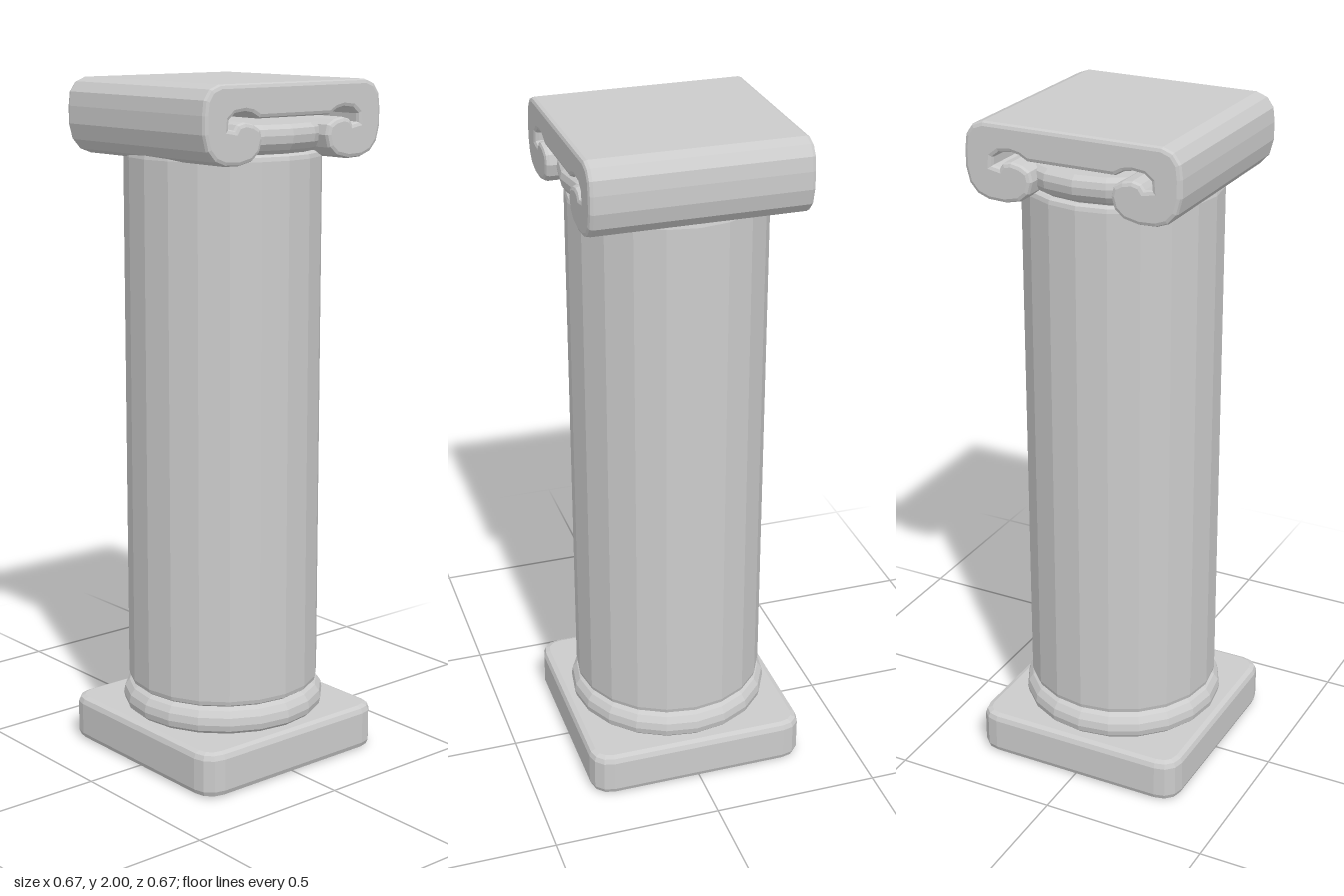
import * as THREE from 'three';

const material = new THREE.MeshStandardMaterial({ color: 0xcccccc, flatShading: true });

function addMesh(group, name, geometry) {
  const mesh = new THREE.Mesh(geometry, material);
  mesh.name = name;
  group.add(mesh);
  return mesh;
}

// Extrude an outline along z, centred, with rounded edges kept inside the outline
function slab(points, depth, bevel) {
  const shape = new THREE.Shape(points.map(([x, y]) => new THREE.Vector2(x, y)));
  const geometry = new THREE.ExtrudeGeometry(shape, {
    depth: depth - 2 * bevel, bevelEnabled: true, bevelThickness: bevel,
    bevelSize: bevel, bevelOffset: -bevel, bevelSegments: 2,
  });
  return geometry.translate(0, 0, -depth / 2 + bevel);
}

// Twenty-sided turned part from [radius, height] pairs, bottom to top
const turned = (profile) =>
  new THREE.LatheGeometry(profile.map(([r, y]) => new THREE.Vector2(r, y)), 20);

export function createModel() {
  const group = new THREE.Group();
  group.name = 'column';

  // Square plinth with rounded corners
  const corner = [[0.333, 0.27], [0.325, 0.302], [0.302, 0.325], [0.27, 0.333]];
  const square = [];
  for (let i = 0; i < 4; i++) {
    const c = Math.round(Math.cos(i * Math.PI / 2)), s = Math.round(Math.sin(i * Math.PI / 2));
    for (const [x, y] of corner) square.push([x * c - y * s, x * s + y * c]);
  }
  const plinth = slab(square, 0.134, 0.02);
  plinth.rotateX(-Math.PI / 2).translate(0, 0.067, 0);
  addMesh(group, 'plinth', plinth);

  // Moulded ring, used at the foot and again, flipped, under the capital
  const ring = [[0, 0], [0.285, 0], [0.298, 0.012], [0.302, 0.03], [0.298, 0.052], [0.285, 0.07], [0.265, 0.082], [0, 0.082]];
  addMesh(group, 'baseRing', turned(ring)).position.y = 0.132;
  const neck = addMesh(group, 'neckRing', turned(ring));
  neck.rotation.x = Math.PI;
  neck.position.y = 1.885;

  // Shaft with softened ends
  addMesh(group, 'shaft', turned([
    [0, 0.212], [0.273, 0.212], [0.282, 0.218], [0.285, 0.23],
    [0.285, 1.785], [0.282, 1.797], [0.273, 1.803], [0, 1.803],
  ]));

  // Capital: a band whose two ends curl into scrolls
  const half = [
    [0.265, 2], [0.297, 1.988], [0.317, 1.96], [0.322, 1.92], [0.322, 1.87], [0.31, 1.825],
    [0.285, 1.797], [0.25, 1.784], [0.2, 1.782], [0.155, 1.792], [0.128, 1.815], [0.118, 1.85],
    [0.125, 1.878], [0.15, 1.892], [0.18, 1.898], [0.205, 1.892], [0.215, 1.878],
    [0.237, 1.882], [0.235, 1.905], [0.215, 1.921], [0.18, 1.925], [0.155, 1.92], [0.13, 1.906],
  ];
  const mirrored = half.map(([x, y]) => [-x, y]).reverse();
  addMesh(group, 'scrollCapital', slab([...half, ...mirrored], 0.622, 0.012));

  return group;
}
